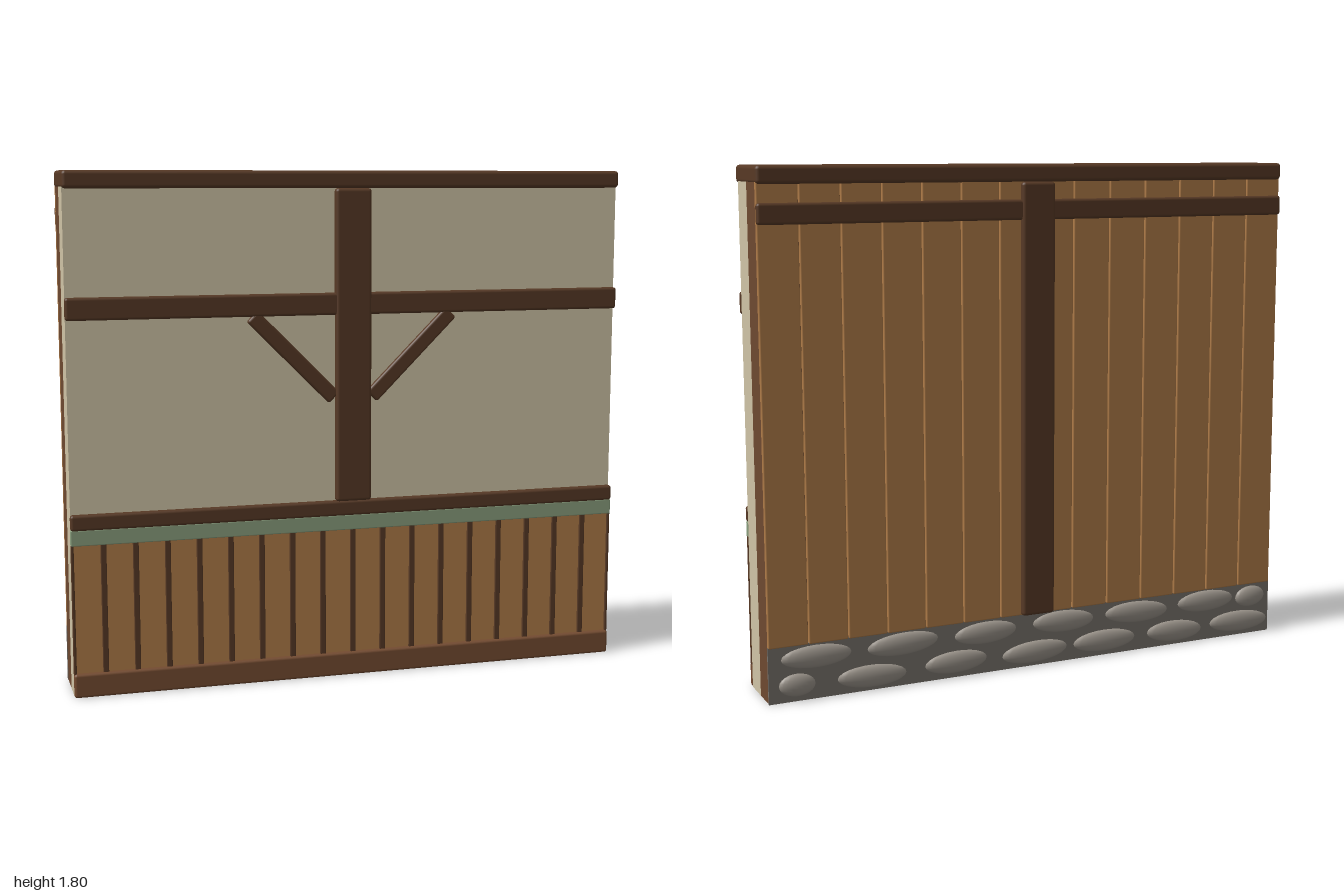
import * as THREE from 'three';
import { RoundedBoxGeometry } from 'three/addons/geometries/RoundedBoxGeometry.js';

const paint = (color) => new THREE.MeshStandardMaterial({ color });

export function createModel() {
  const model = new THREE.Group();
  const beamWood = paint(0x573925);
  const baseWood = paint(0x744b30);
  const sideWood = paint(0x6e4930);
  const plankWood = paint(0xb07c48);
  const plaster = paint(0xd0c4a6);
  const green = paint(0x8a9f7e);
  const mortar = paint(0x77726b);
  const stoneGrey = paint(0x9a938a);

  // Box given by its limits on each axis; a radius rounds its edges
  function block(name, material, [x0, x1], [y0, y1], [z0, z1], radius = 0, parent = model) {
    const size = [x1 - x0, y1 - y0, z1 - z0];
    const geometry = radius
      ? new RoundedBoxGeometry(...size, 2, radius)
      : new THREE.BoxGeometry(...size);
    const mesh = new THREE.Mesh(geometry, material);
    mesh.position.set((x0 + x1) / 2, (y0 + y1) / 2, (z0 + z1) / 2);
    mesh.name = name;
    parent.add(mesh);
    return mesh;
  }

  function group(name) {
    const g = new THREE.Group();
    g.name = name;
    model.add(g);
    return g;
  }

  const full = [-1, 1];
  const core = [-0.998, 0.998];

  // Two-layer wall: plaster in front, timber behind
  block('plasterWall', plaster, core, [0, 1.76], [0, 0.1]);
  block('timberWall', sideWood, core, [0, 1.76], [-0.1, 0]);
  block('capBeam', beamWood, full, [1.74, 1.8], [-0.122, 0.125], 0.013);

  // Front timber frame
  block('frontPost', beamWood, [-0.065, 0.065], [0.64, 1.74], [0.096, 0.13], 0.012);
  block('middleRail', beamWood, full, [1.303, 1.38], [0.098, 0.125], 0.01);
  block('lowerRail', beamWood, full, [0.588, 0.643], [0.098, 0.127], 0.01);
  block('greenTrim', green, full, [0.535, 0.59], [0.098, 0.12], 0.004);
  block('baseBoard', baseWood, full, [0, 0.085], [0.098, 0.125], 0.01);

  // Mirrored diagonal braces
  for (const side of [-1, 1]) {
    const brace = block('brace', beamWood, [-0.207, 0.207], [-0.027, 0.027], [0.097, 0.122], 0.009);
    brace.position.x = side * 0.215;
    brace.position.y = 1.158;
    brace.rotation.z = side * Math.PI / 4;
  }

  // Wainscot boards with dark battens over the joints
  const wainscot = group('wainscot');
  block('wainscotBoards', plankWood, core, [0.08, 0.54], [0.09, 0.109], 0, wainscot);
  const boards = 18;
  for (let i = 0; i <= boards; i++) {
    const x = -1 + (2 * i) / boards;
    block('batten', beamWood, [Math.max(-1, x - 0.01), Math.min(1, x + 0.01)],
      [0.08, 0.54], [0.1, 0.116], 0.003, wainscot);
  }

  // Vertical planks on the back
  const cladding = group('backCladding');
  const planks = 14;
  const width = 2 / planks;
  for (let i = 0; i < planks; i++) {
    const x = -1 + i * width;
    block('plank', plankWood, [x + 0.001, x + width - 0.001], [0.195, 1.75], [-0.11, -0.094], 0.005, cladding);
  }
  block('backPost', beamWood, [-0.063, 0.063], [0.195, 1.74], [-0.13, -0.098], 0.012);
  block('backRail', beamWood, full, [1.61, 1.68], [-0.123, -0.098], 0.01);

  // Stone footing: two staggered rows of flattened stones set in mortar
  const footing = group('stoneFooting');
  block('mortar', mortar, full, [0, 0.2], [-0.106, -0.098], 0, footing);
  const stoneShape = new THREE.SphereGeometry(1, 20, 12);
  const rows = [
    { y: 0.15, xs: [0.83, 0.515, 0.2, -0.11, -0.415, -0.715, -0.915] },
    { y: 0.054, xs: [0.9, 0.63, 0.315, 0.005, -0.28, -0.58, -0.865] },
  ];
  rows.forEach(({ y, xs }, row) => xs.forEach((x, i) => {
    const stone = new THREE.Mesh(stoneShape, stoneGrey);
    const small = Math.abs(x) > 0.89;
    stone.name = 'stone';
    stone.scale.set(small ? 0.065 : 0.126 + 0.007 * Math.sin(i * 2 + row), 0.04, 0.021);
    stone.position.set(x, y + 0.004 * Math.sin(i * 3 + row), -0.105);
    stone.rotation.z = 0.04 * Math.sin(i * 5 + row * 2);
    footing.add(stone);
  }));

  return model;
}
